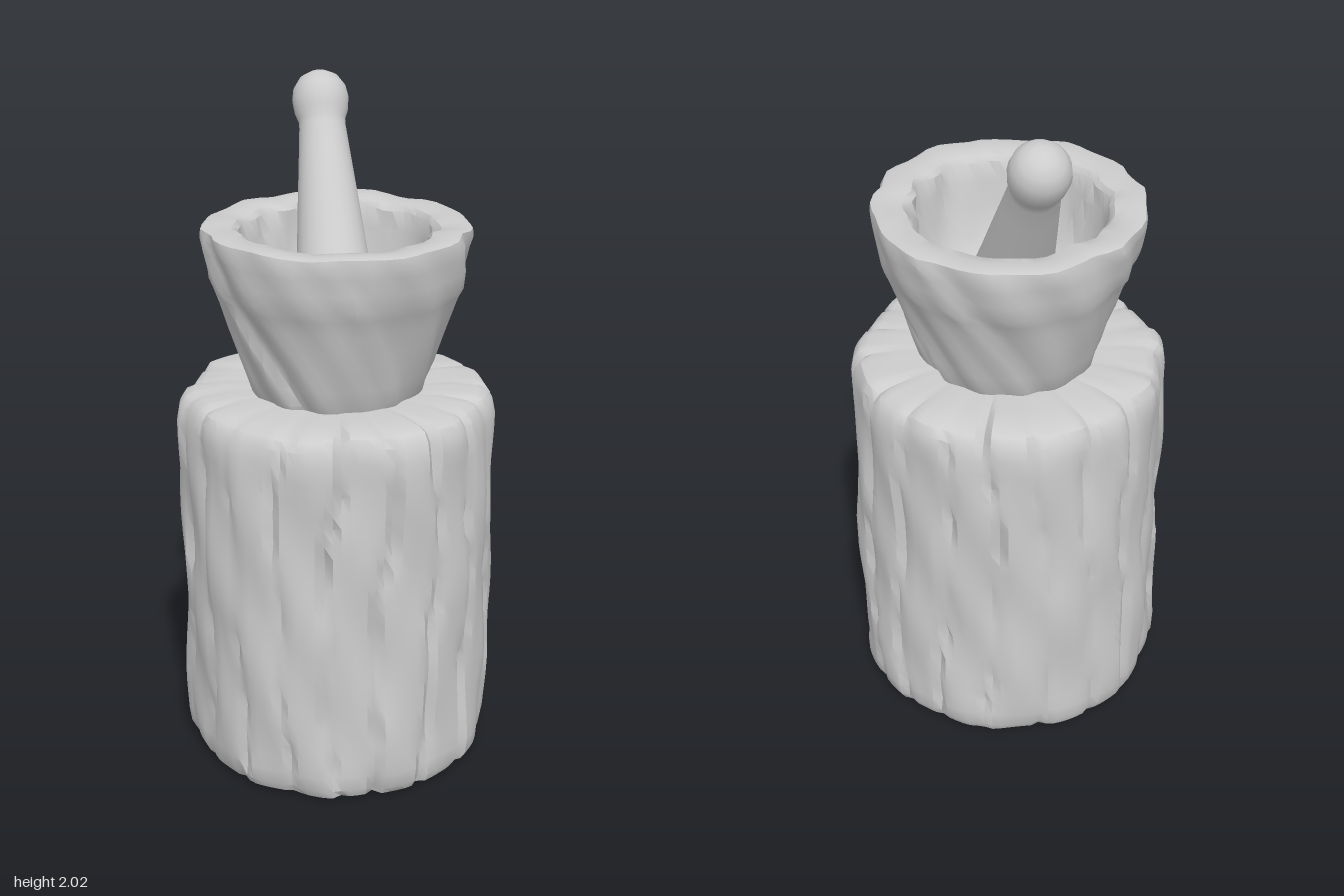
import * as THREE from 'three';
import { mergeVertices, toCreasedNormals } from 'three/addons/utils/BufferGeometryUtils.js';

const stone = new THREE.MeshStandardMaterial({ color: 0xcccccc });
stone.name = 'plain grey';

const hash = (n) => {
  const s = Math.sin(n * 127.1 + 11.7) * 43758.5453;
  return s - Math.floor(s);
};
const step = (a, b, x) => THREE.MathUtils.smoothstep(x, a, b);

// Smooth lumps around the axis, periodic in the angle a
const lumps = (a, y, seed) =>
  (Math.sin(3 * a + 5 * y + seed) + Math.sin(7 * a - 9 * y + 2 * seed) + Math.sin(11 * a + 14 * y + 3 * seed)) / 3;

// Lathe whose vertices are moved by rule(radius, height, angle) -> [radius, height]
function turned(name, profile, segments, rule, crease) {
  let geo = new THREE.LatheGeometry(profile.map(([r, y]) => new THREE.Vector2(r, y)), segments);
  geo.deleteAttribute('uv');
  geo.deleteAttribute('normal');
  const p = geo.attributes.position;
  for (let i = 0; rule && i < p.count; i++) {
    const r = Math.hypot(p.getX(i), p.getZ(i));
    if (r < 1e-4) continue;
    const a = Math.atan2(p.getX(i), p.getZ(i));
    const [nr, ny] = rule(r, p.getY(i), a);
    p.setXYZ(i, Math.sin(a) * nr, ny, Math.cos(a) * nr);
  }
  geo = toCreasedNormals(mergeVertices(geo, 1e-4), crease);
  const mesh = new THREE.Mesh(geo, stone);
  mesh.name = name;
  return mesh;
}

// Bark strips of uneven depth, parted by narrow wandering grooves
const STRIPS = 19;
function bark(r, y, a) {
  const wander = 0.16 * Math.sin(4 * y + 3 * a) + 0.08 * Math.sin(11 * y + 5 * a);
  const t = ((a + Math.PI) / (2 * Math.PI)) * STRIPS + wander;
  const i = ((Math.floor(t) % STRIPS) + STRIPS) % STRIPS;
  const u = t - Math.floor(t);
  const edge = Math.abs(u - 0.5) * 2;
  const rim = step(0.2, 0.44, r);
  const groove = step(0.7, 1, edge) * (0.008 + 0.016 * hash(i + 40));
  const relief = (hash(i) - 0.5) * 0.02 + 0.012 * lumps(a, y, 1) - groove;
  const drop = y > 0.6 ? rim * (groove * 0.5 + 0.012 * hash(i + 7)) : 0;
  return [r + relief * rim, y - drop];
}

function chips(r, y, a) {
  const outer = step(0.2, 0.27, r);
  const dent = 0.008 * lumps(a, y, 4) + 0.005 * Math.sin(13 * a + 21 * y);
  const notch = 0.012 * step(0.75, 1, Math.sin(5 * a + 9 * y));
  const sag = y > 1.6 ? 0.006 * (1 + lumps(a, 0, 2)) : 0;
  return [r + (dent - notch) * outer, y - sag];
}

export function createModel() {
  const model = new THREE.Group();
  model.name = 'mortarOnStump';

  // Stump: closed base, barked side, slightly rounded top edge
  const stumpProfile = [[0, 0], [0.2, 0], [0.415, 0], [0.44, 0.012], [0.455, 0.04]];
  for (let k = 1; k <= 22; k++) stumpProfile.push([0.46, 0.04 + k * 0.0475]);
  stumpProfile.push([0.452, 1.13], [0.435, 1.155], [0.41, 1.165], [0.33, 1.168], [0.24, 1.16], [0, 1.155]);
  model.add(turned('stump', stumpProfile, 114, bark, 0.6));

  // Mortar: chipped flaring wall, broad rim and hollow inside
  const mortarProfile = [
    [0, 1.14], [0.24, 1.14], [0.258, 1.17], [0.277, 1.23], [0.296, 1.29], [0.315, 1.35], [0.334, 1.41],
    [0.352, 1.46], [0.367, 1.49], [0.376, 1.54], [0.384, 1.59], [0.389, 1.63], [0.386, 1.653],
    [0.37, 1.658], [0.33, 1.655], [0.298, 1.65], [0.284, 1.635], [0.274, 1.57], [0.262, 1.5],
    [0.24, 1.42], [0.2, 1.36], [0.14, 1.33], [0, 1.32],
  ];
  model.add(turned('mortar', mortarProfile, 56, chips, 0.65));

  // Pestle: round grip, tapered shaft and broad rounded foot, leaning back
  const pestleProfile = [
    [0, -0.12], [0.05, -0.108], [0.09, -0.078], [0.113, -0.035], [0.12, 0.01], [0.117, 0.07],
    [0.104, 0.2], [0.091, 0.35], [0.078, 0.49], [0.07, 0.58], [0.07, 0.605],
    [0.08, 0.632], [0.085, 0.67], [0.079, 0.705], [0.06, 0.735], [0.032, 0.752], [0, 0.757],
  ];
  const pestle = turned('pestle', pestleProfile, 24, null, 0.9);
  pestle.position.set(0, 1.37, 0);
  pestle.rotation.x = -0.57;
  model.add(pestle);

  return model;
}
